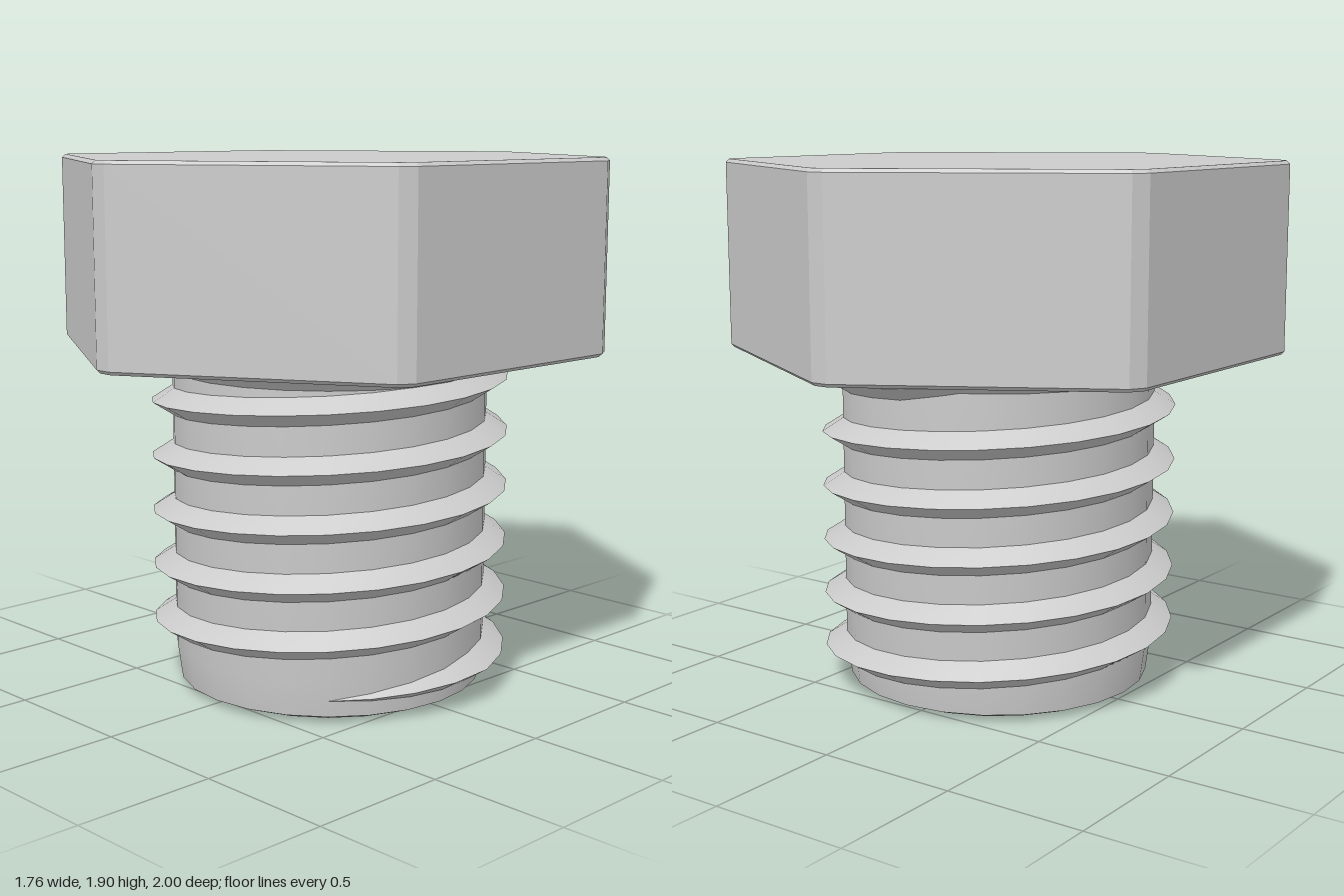
import * as THREE from 'three';
import { toCreasedNormals } from 'three/addons/utils/BufferGeometryUtils.js';

const SIDES = 24;

// Hexagonal outline with slightly cut corners, two of them pointing along z
function hexOutline(apothem, cut) {
  const points = [];
  const radius = apothem / Math.cos(Math.PI / 6);
  const corner = (i) => {
    const a = Math.PI / 2 + (i * Math.PI) / 3;
    return new THREE.Vector2(Math.cos(a), Math.sin(a)).multiplyScalar(radius);
  };
  for (let i = 0; i < 6; i++) {
    points.push(corner(i).lerp(corner(i - 1), cut));
    points.push(corner(i).lerp(corner(i + 1), cut));
  }
  return new THREE.Shape(points);
}

// Helical ridge: a lower and an upper flank meeting in a sharp crest
function threadGeometry({ pitch, root, crest, halfHeight, topY, start, end }) {
  const positions = [];
  const index = [];
  const steps = Math.round((end - start) * SIDES);
  for (let i = 0; i <= steps; i++) {
    const t = start + i / SIDES;
    const a = t * Math.PI * 2;
    const y = topY - pitch * t;
    // the ridge fades into the core at both ends
    const fade = Math.min(1, i / 3, (steps - i) / 4);
    const r = root + (crest - root) * fade;
    const h = halfHeight * fade;
    // the crest is doubled so that it stays sharp
    for (const [radius, dy] of [[root, -h], [r, 0], [r, 0], [root, h]]) {
      positions.push(radius * Math.cos(a), y + dy, radius * Math.sin(a));
    }
    if (i === steps) continue;
    for (const k of [0, 2]) {
      const low = i * 4 + k;
      index.push(low, low + 1, low + 4, low + 1, low + 5, low + 4);
    }
  }
  const geometry = new THREE.BufferGeometry();
  geometry.setAttribute('position', new THREE.Float32BufferAttribute(positions, 3));
  geometry.setIndex(index);
  geometry.computeVertexNormals();
  return geometry;
}

export function createModel() {
  const model = new THREE.Group();
  model.name = 'hexBolt';
  const material = new THREE.MeshStandardMaterial({ color: 0xcccccc });
  const add = (name, geometry, parent) => {
    const mesh = new THREE.Mesh(geometry, material);
    mesh.name = name;
    parent.add(mesh);
    return mesh;
  };

  // Head, with a narrow bevel along the upper and lower edges
  const bevel = 0.012;
  const headGeometry = new THREE.ExtrudeGeometry(hexOutline(0.88, 0.035), {
    depth: 0.68 - 2 * bevel,
    bevelThickness: bevel,
    bevelSize: bevel,
    bevelOffset: -bevel,
    bevelSegments: 1,
  });
  headGeometry.rotateX(-Math.PI / 2);
  add('head', headGeometry, model).position.y = 1.22 + bevel;

  // Shank, set slightly off the axis of the head
  const shank = new THREE.Group();
  shank.name = 'shank';
  shank.position.set(0.033, 0, 0.01);
  model.add(shank);

  // Core with a chamfered tip and a flare under the head
  const profile = [
    [0, 0], [0.49, 0], [0.55, 0.025], [0.567, 0.15],
    [0.567, 1.15], [0.6, 1.185], [0.68, 1.225],
  ].map(([r, y]) => new THREE.Vector2(r, y));
  add('core', toCreasedNormals(new THREE.LatheGeometry(profile, SIDES), 0.5), shank);

  // Thread
  add('thread', threadGeometry({
    pitch: 0.2, root: 0.562, crest: 0.643, halfHeight: 0.052,
    topY: 1.11, start: -0.375, end: 5.125,
  }), shank);

  return model;
}
